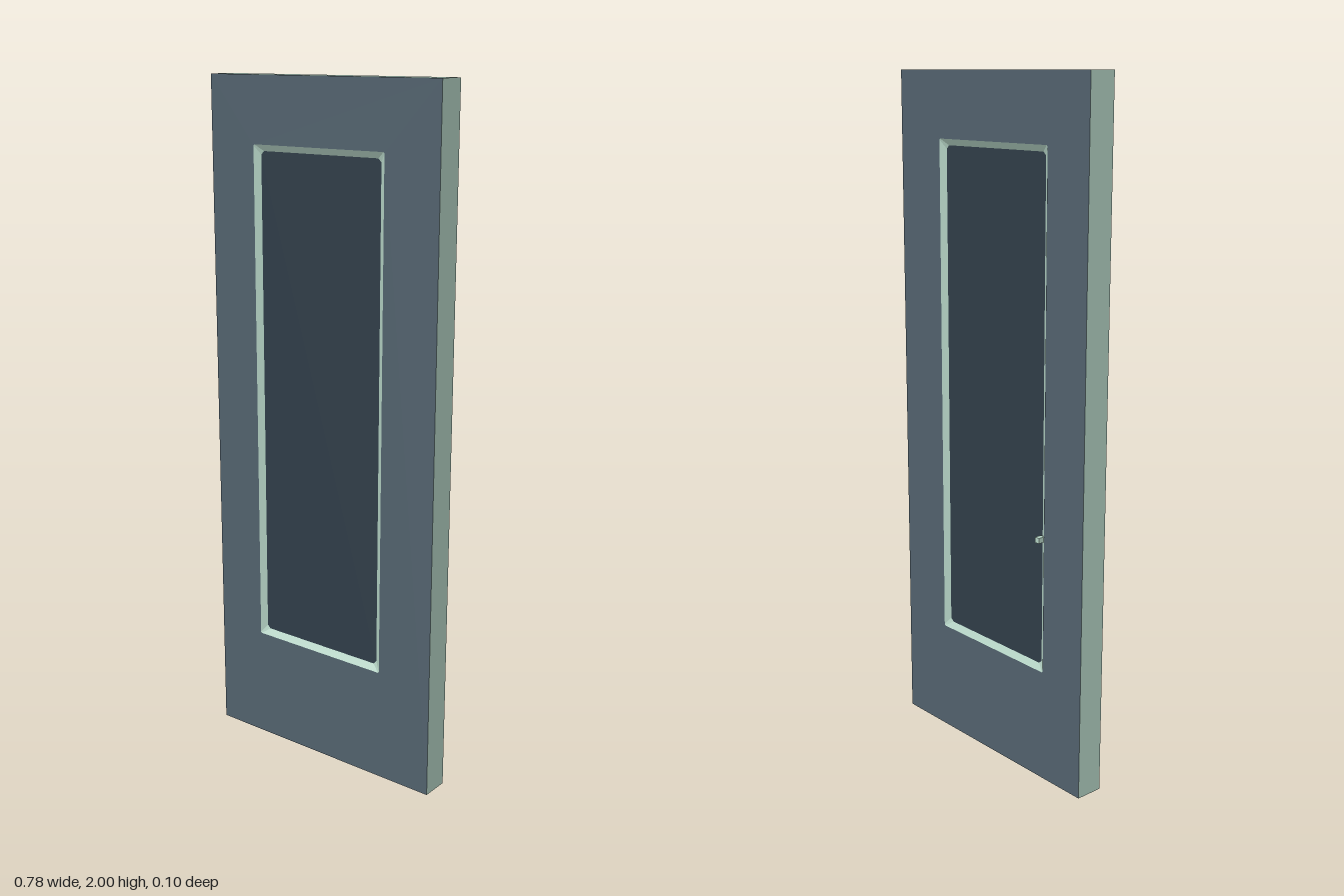
import * as THREE from 'three';

const W = 0.78, H = 2, FRONT = 0.05, BACK = -0.033;
const RECESS = 0.012, BEVEL = 0.018;

function material(name, color) {
  const m = new THREE.MeshStandardMaterial({ color, side: THREE.DoubleSide });
  m.name = name;
  return m;
}

function mesh(name, geometry, mat) {
  const m = new THREE.Mesh(geometry, mat);
  m.name = name;
  return m;
}

// Counter-clockwise outline of the window opening, with clipped corners
function opening(cx, inset, clip) {
  const x0 = cx - 0.225 + inset, x1 = cx + 0.225 - inset;
  const y0 = 0.333 + inset, y1 = 1.812 - inset;
  return [
    [x0 + clip, y0], [x1 - clip, y0], [x1, y0 + clip], [x1, y1 - clip],
    [x1 - clip, y1], [x0 + clip, y1], [x0, y1 - clip], [x0, y0 + clip],
  ].map(([x, y]) => new THREE.Vector2(x, y));
}

// Sloping strip between the door skin and the recessed glass
function bevelGeometry(outer, inner) {
  const pos = [];
  const n = outer.length;
  for (let i = 0; i < n; i++) {
    const j = (i + 1) % n;
    const a = [outer[i].x, outer[i].y, 0], b = [outer[j].x, outer[j].y, 0];
    const c = [inner[j].x, inner[j].y, -RECESS], d = [inner[i].x, inner[i].y, -RECESS];
    pos.push(...a, ...b, ...c, ...a, ...c, ...d);
  }
  const g = new THREE.BufferGeometry();
  g.setAttribute('position', new THREE.Float32BufferAttribute(pos, 3));
  g.computeVertexNormals();
  return g;
}

export function createModel() {
  const skin = material('slate door', 0x51616c);
  const glass = material('dark glass', 0x2f3c47);
  const trim = material('pale green trim', 0xb2d0c2);
  const door = new THREE.Group();
  door.name = 'door';

  // One face of the door: skin with window opening, bevel and glass
  function doorFace(name, cx) {
    const g = new THREE.Group();
    g.name = name;
    const outer = opening(cx, 0, 0.003), inner = opening(cx, BEVEL, 0.01);
    const shape = new THREE.Shape([
      new THREE.Vector2(-W / 2, 0), new THREE.Vector2(W / 2, 0),
      new THREE.Vector2(W / 2, H), new THREE.Vector2(-W / 2, H),
    ]);
    shape.holes.push(new THREE.Path(outer));
    g.add(mesh('doorSkin', new THREE.ShapeGeometry(shape), skin));
    g.add(mesh('windowBevel', bevelGeometry(outer, inner), trim));
    const pane = mesh('windowGlass', new THREE.ShapeGeometry(new THREE.Shape(inner)), glass);
    pane.position.z = -RECESS;
    g.add(pane);
    return g;
  }

  const front = doorFace('frontFace', -0.01);
  front.position.z = FRONT;
  const back = doorFace('backFace', 0.01);
  back.position.z = BACK;
  back.rotation.y = Math.PI;
  door.add(front, back);

  // Edges of the hollow slab, open underneath
  const depth = FRONT - BACK, zMid = (FRONT + BACK) / 2;
  for (const s of [-1, 1]) {
    const edge = mesh(s > 0 ? 'leftEdge' : 'rightEdge', new THREE.PlaneGeometry(depth, H), trim);
    edge.rotation.y = s * Math.PI / 2;
    edge.position.set(s * W / 2, H / 2, zMid);
    door.add(edge);
  }
  const top = mesh('topEdge', new THREE.PlaneGeometry(W, depth), trim);
  top.rotation.x = -Math.PI / 2;
  top.position.set(0, H, zMid);
  door.add(top);

  // Small latch knob on the back
  const knob = mesh('latchKnob', new THREE.BoxGeometry(0.016, 0.016, 0.022), trim);
  knob.position.set(-0.225, 0.735, -0.039);
  door.add(knob);

  return door;
}
